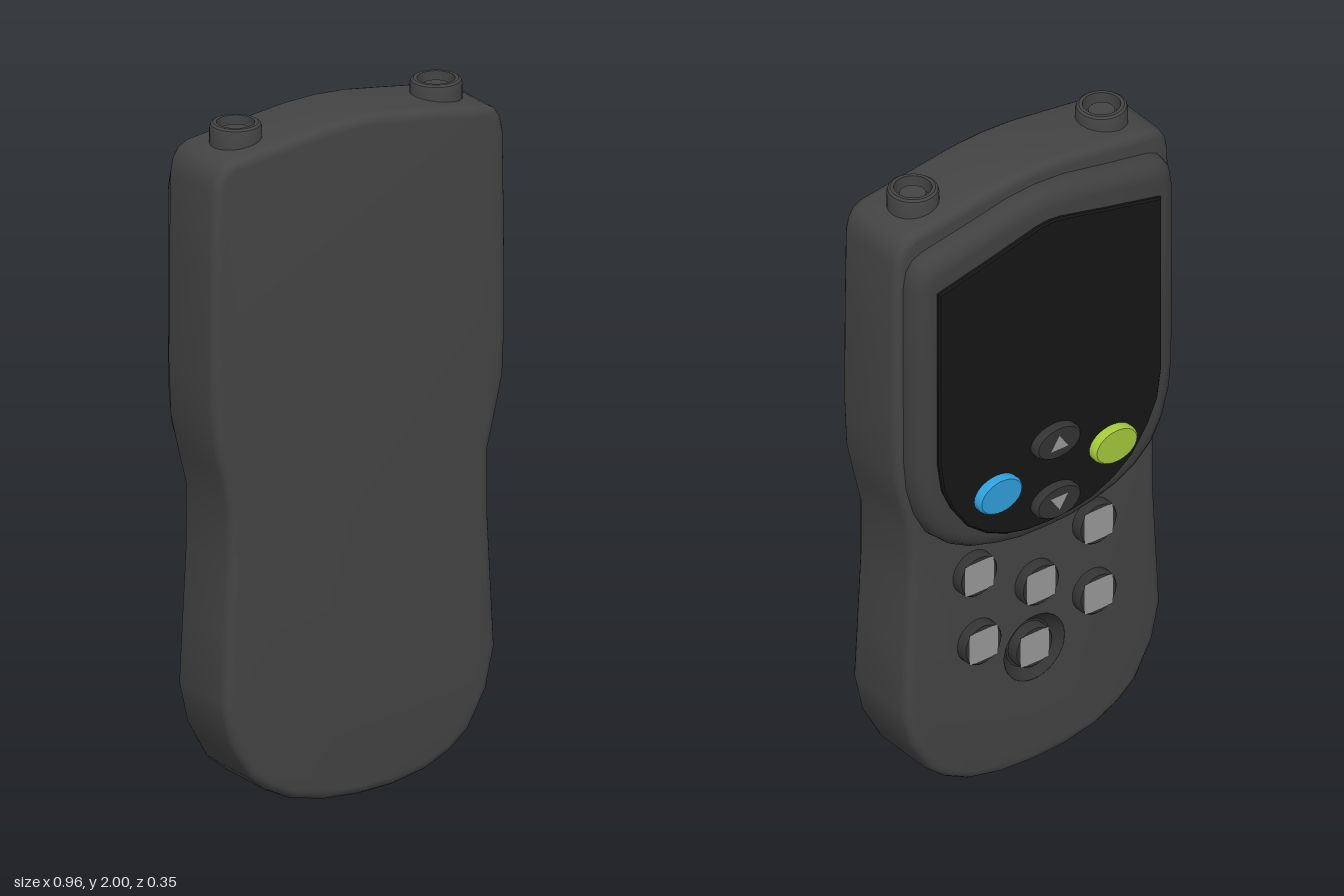
import * as THREE from 'three';
import { toCreasedNormals } from 'three/addons/utils/BufferGeometryUtils.js';

const V = (x, y) => new THREE.Vector2(x, y);
const paint = (color) => new THREE.MeshStandardMaterial({ color });
const shell = paint(0x444444), bezelMat = paint(0x404040), glass = paint(0x161616);
const dark = paint(0x333333), blue = paint(0x2f9fdc), green = paint(0xa4c83c);
const icon = paint(0x999999);

// Mirrors a half outline running from bottom centre up the +x side to top centre
function mirrored(half) {
  const right = half.map(([x, y]) => V(x, y));
  const left = right.slice(1, -1).reverse().map((p) => V(-p.x, p.y));
  return [...right, ...left];
}

// Moves every corner of a counter-clockwise outline inwards by d
function inset(points, d) {
  const n = points.length;
  return points.map((p, i) => {
    const a = p.clone().sub(points[(i + n - 1) % n]).normalize();
    const b = points[(i + 1) % n].clone().sub(p).normalize();
    const normal = V(-a.y - b.y, a.x + b.x).normalize();
    const miter = Math.max(0.5, normal.dot(V(-a.y, a.x)));
    return p.clone().addScaledVector(normal, d / miter);
  });
}

// Quarter-round edge as [inset, z] layers, ending at the given front z
function roundedEdge(radius, height, front, steps = 4) {
  return Array.from({ length: steps + 1 }, (_, i) => {
    const t = (i / steps) * Math.PI / 2;
    return [radius * (1 - Math.cos(t)), front - height * (1 - Math.sin(t))];
  });
}

// Skins the outline through [inset, z] layers, back to front, and caps both ends
function slab(outline, layers, hole) {
  const pos = [];
  const rings = layers.map(([d, z]) => inset(outline, d).map((p) => [p.x, p.y, z]));
  const n = outline.length;
  for (let k = 0; k < rings.length - 1; k++) {
    for (let i = 0; i < n; i++) {
      const j = (i + 1) % n;
      const [a, b, c, d] = [rings[k][i], rings[k][j], rings[k + 1][j], rings[k + 1][i]];
      pos.push(...a, ...b, ...c, ...a, ...c, ...d);
    }
  }
  const cap = (ring, holes, flip) => {
    const contour = ring.map((p) => V(p[0], p[1]));
    const all = [...contour, ...holes.flat()];
    for (const f of THREE.ShapeUtils.triangulateShape(contour, holes)) {
      for (const i of flip ? [f[0], f[2], f[1]] : f) pos.push(all[i].x, all[i].y, ring[0][2]);
    }
  };
  cap(rings[0], [], true);
  cap(rings[rings.length - 1], hole ? [hole] : [], false);
  const g = new THREE.BufferGeometry();
  g.setAttribute('position', new THREE.Float32BufferAttribute(pos, 3));
  return toCreasedNormals(g, 0.6);
}

function lathe(profile, segments = 32) {
  const g = new THREE.LatheGeometry(profile.map(([x, y]) => V(x, y)), segments);
  return toCreasedNormals(g, 0.6);
}

export function createModel() {
  const root = new THREE.Group();
  const device = new THREE.Group();
  device.name = 'handheldDevice';
  device.rotation.y = Math.PI; // screen side faces the back
  root.add(device);

  const add = (name, geometry, material, x = 0, y = 0, z = 0) => {
    const mesh = new THREE.Mesh(geometry, material);
    mesh.name = name;
    mesh.position.set(x, y, z);
    device.add(mesh);
    return mesh;
  };

  // Body with a waist, a rounded bottom and a round recess in its face
  const face = 0.075, dishY = 0.385, dishR = 0.105;
  const bodyOutline = mirrored([
    [0, 0], [0.11, 0.006], [0.22, 0.03], [0.3, 0.07], [0.36, 0.12], [0.42, 0.23], [0.447, 0.35],
    [0.436, 0.55], [0.425, 0.75], [0.425, 0.93], [0.45, 1.03], [0.475, 1.14], [0.482, 1.3],
    [0.48, 1.6], [0.476, 1.85], [0.468, 1.89], [0.45, 1.92], [0.42, 1.936], [0.36, 1.945],
    [0.22, 1.965], [0.1, 1.981], [0, 1.986],
  ]);
  const frontEdge = roundedEdge(0.028, 0.028, face);
  const backEdge = roundedEdge(0.028, 0.028, 0.175).reverse().map(([d, z]) => [d, -z]);
  const rim = new THREE.Path().absarc(0, dishY, dishR, 0, Math.PI * 2, true).getPoints(32).slice(0, -1);
  add('body', slab(bodyOutline, [...backEdge, ...frontEdge], rim), shell);
  const dish = lathe([[dishR, 0], [0.095, -0.015], [0.075, -0.03], [0, -0.03]]).rotateX(Math.PI / 2);
  add('keyRecess', dish, dark, 0, dishY, face);

  // Raised screen surround
  const bezelOutline = mirrored([
    [0, 0.8], [0.09, 0.803], [0.17, 0.818], [0.25, 0.842], [0.32, 0.88], [0.38, 0.935], [0.42, 1.01],
    [0.445, 1.1], [0.454, 1.2], [0.456, 1.5], [0.455, 1.78], [0.447, 1.83], [0.425, 1.86],
    [0.39, 1.875], [0.25, 1.9], [0.1, 1.93], [0, 1.937],
  ]);
  add('screenSurround', slab(bezelOutline, [[0, 0.06], ...roundedEdge(0.05, 0.055, 0.138)]), bezelMat);

  // Dark screen
  const screenOutline = mirrored([
    [0, 0.848], [0.08, 0.852], [0.15, 0.868], [0.22, 0.9], [0.285, 0.95], [0.34, 1.03], [0.372, 1.1],
    [0.387, 1.2], [0.387, 1.768], [0.2, 1.81], [0.04, 1.848], [0, 1.852],
  ]);
  add('screen', slab(screenOutline, [[0, 0.13], [0, 0.145], [0.005, 0.15]]), glass);

  // Rounded push button, its base on z = 0
  const button = (rx, ry, h) =>
    lathe([[1, -0.3], [1, 0.6], [0.97, 0.85], [0.9, 1], [0, 1]])
      .rotateX(Math.PI / 2).scale(rx, ry, h);

  // Soft buttons on the screen
  const softZ = 0.149, softH = 0.026;
  add('blueButton', button(0.077, 0.057, softH), blue, -0.19, 1.025, softZ);
  add('greenButton', button(0.077, 0.057, softH), green, 0.21, 1.025, softZ);
  for (const [name, y, dir] of [['up', 1.12, 1], ['down', 0.922, -1]]) {
    add(name + 'Button', button(0.08, 0.052, softH), dark, 0.01, y, softZ);
    const arrow = new THREE.ShapeGeometry(new THREE.Shape([V(-0.03, -0.02), V(0.03, -0.02), V(0, 0.025)]));
    add(name + 'Arrow', arrow, icon, 0.01, y, softZ + softH + 0.001).rotation.z = dir > 0 ? 0 : Math.PI;
  }

  // Keypad, the lowest key sunk in the recess
  const keys = [
    [-0.215, 0.73, face], [0.2, 0.73, face], [0, 0.61, face],
    [-0.2, 0.495, face], [0.2, 0.495, face], [0, dishY, face - 0.03],
  ];
  for (const [x, y, z] of keys) {
    add('key', button(0.068, 0.068, 0.03), dark, x, y, z);
    add('keyFace', new THREE.PlaneGeometry(0.1, 0.1), icon, x, y, z + 0.0315);
  }

  // Sockets on the top edge
  const socket = lathe([
    [0.073, 1.9], [0.073, 1.985], [0.07, 1.995], [0.063, 2], [0.053, 2],
    [0.053, 1.955], [0.037, 1.955], [0.037, 1.98], [0, 1.98],
  ]);
  for (const side of [-1, 1]) add('topSocket', socket, shell, side * 0.328, 0, -0.047);

  return root;
}
